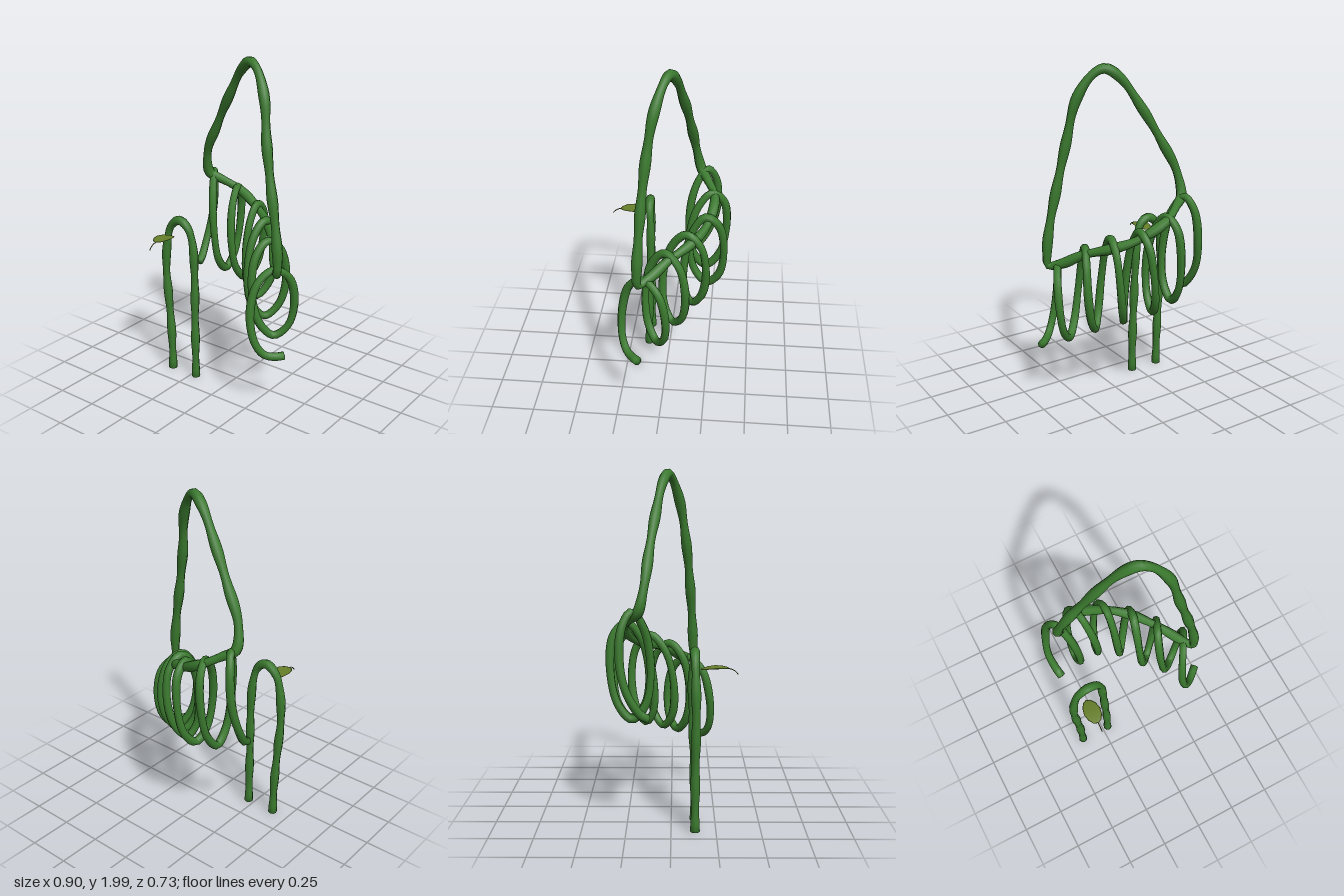
import * as THREE from 'three';
import { mergeVertices } from 'three/addons/utils/BufferGeometryUtils.js';

const vineGreen = new THREE.MeshStandardMaterial({ color: 0x3b7a2f });
vineGreen.name = 'vine green';
const leafOlive = new THREE.MeshStandardMaterial({ color: 0x67802a });
leafOlive.name = 'leaf olive';
const stemOlive = new THREE.MeshStandardMaterial({ color: 0x5f6a26 });
stemOlive.name = 'stem olive';

// Gnarled tube along a smooth path; radius swells and thins, open ends are capped
function vine(name, points, { radius, swell = 0, waves = 1, segments = 100, sides = 8, closed = false, material = vineGreen }) {
  const curve = new THREE.CatmullRomCurve3(points.map((p) => new THREE.Vector3(...p)), closed, 'centripetal');
  curve.arcLengthDivisions = 1000;
  const geo = new THREE.TubeGeometry(curve, segments, 1, sides, closed);
  const pos = geo.attributes.position;
  const v = new THREE.Vector3();
  for (let i = 0; i <= segments; i++) {
    const t = i / segments;
    const ring = curve.getPointAt(t);
    const centre = ring.clone();
    let r = radius * (1 + swell * Math.cos(t * waves * Math.PI * 2));
    if (!closed) {
      if (i === 0 || i === segments) r = 0;
      if (i === 1) centre.copy(curve.getPointAt(0.15 / segments));
      if (i === segments - 1) centre.copy(curve.getPointAt(1 - 0.15 / segments));
    }
    for (let j = 0; j <= sides; j++) {
      const k = i * (sides + 1) + j;
      v.fromBufferAttribute(pos, k).sub(ring).multiplyScalar(r).add(centre);
      pos.setXYZ(k, v.x, v.y, v.z);
    }
  }
  geo.deleteAttribute('uv');
  geo.deleteAttribute('normal');
  const smooth = mergeVertices(geo, 1e-5);
  smooth.computeVertexNormals();
  const mesh = new THREE.Mesh(smooth, material);
  mesh.name = name;
  return mesh;
}

// Rounds a chain of quarter-turn points by adding the elliptical midpoint of each quarter
function roundQuarters(points) {
  const out = [];
  for (let i = 1; i < points.length - 2; i++) {
    const [before, a, b, after] = points.slice(i - 1, i + 3);
    out.push(a, a.map((_, k) => {
      const c = (before[k] + a[k] + b[k] + after[k]) / 4;
      return c + Math.SQRT1_2 * (a[k] + b[k] - 2 * c);
    }));
  }
  return [...out, points[points.length - 2]];
}

export function createModel() {
  const group = new THREE.Group();
  group.name = 'vines';

  // Small arch standing on two legs
  group.add(vine('archVine', [
    [-0.398, 0.005, 0.133], [-0.403, 0.25, 0.133], [-0.418, 0.5, 0.135], [-0.428, 0.67, 0.137],
    [-0.417, 0.85, 0.135], [-0.385, 0.965, 0.132], [-0.32, 1.012, 0.13], [-0.262, 0.975, 0.127],
    [-0.234, 0.88, 0.12], [-0.222, 0.68, 0.12], [-0.217, 0.4, 0.128], [-0.214, 0.2, 0.132], [-0.214, 0.005, 0.133],
  ], { radius: 0.0245, swell: 0.12, waves: 8, segments: 90 }));

  // Large closed loop: tall bow above, sagging chord below
  group.add(vine('loopVine', [
    [-0.335, 1.225, -0.18], [-0.322, 1.37, -0.145], [-0.23, 1.55, -0.12], [-0.11, 1.755, -0.085],
    [0, 1.915, -0.05], [0.08, 1.968, -0.02], [0.145, 1.935, 0.007], [0.222, 1.8, 0.05],
    [0.264, 1.58, 0.085], [0.31, 1.35, 0.108], [0.36, 1.1, 0.125], [0.38, 0.93, 0.132],
    [0.375, 0.845, 0.13], [0.32, 0.865, 0.065], [0.24, 0.93, -0.03], [0.13, 0.98, -0.15],
    [0.01, 1.03, -0.23], [-0.17, 1.125, -0.268], [-0.28, 1.19, -0.215],
  ], { radius: 0.0275, swell: 0.13, waves: 11, segments: 130, closed: true }));

  // Tendril coiling round the chord; the turns run back, top, front, bottom
  const turns = roundQuarters([
    [-0.41, 0.66, -0.2], [-0.39, 0.95, -0.278], [-0.33, 1.23, -0.215], [-0.257, 0.9, -0.113],
    [-0.245, 0.61, -0.22], [-0.224, 0.9, -0.341], [-0.18, 1.147, -0.25], [-0.133, 0.85, -0.125],
    [-0.1, 0.58, -0.235], [-0.043, 0.84, -0.333], [-0.015, 1.077, -0.225], [-0.008, 0.78, -0.105],
    [0.04, 0.52, -0.15], [0.12, 0.78, -0.238], [0.112, 1.03, -0.125], [0.09, 0.74, 0.013],
    [0.17, 0.463, -0.05], [0.267, 0.72, -0.13], [0.212, 0.963, -0.01], [0.19, 0.68, 0.107],
    [0.295, 0.408, 0.035], [0.395, 0.64, -0.025], [0.332, 0.852, 0.1], [0.268, 0.62, 0.232],
    [0.36, 0.36, 0.17],
  ]);
  group.add(vine('coilVine', [
    [-0.383, 0.645, -0.12], [-0.392, 0.665, -0.16], [-0.405, 0.78, -0.235],
    ...turns,
    [0.3, 0.45, 0.235], [0.345, 0.373, 0.207], [0.39, 0.355, 0.168], [0.436, 0.36, 0.125],
  ], { radius: 0.0237, swell: 0.06, waves: 17, segments: 320 }));

  // Thin cupped leaf, narrowing and dipping towards the arch
  const leafGeo = new THREE.SphereGeometry(1, 12, 8);
  const p = leafGeo.attributes.position;
  for (let i = 0; i < p.count; i++) {
    const x = p.getX(i), y = p.getY(i), z = p.getZ(i);
    const width = 0.051 * (z < 0 ? 1 + 0.12 * z : 1);
    p.setXYZ(i, x * width, y * 0.004 + 0.006 * x * x - 0.005 * z * z + 0.004 * z, z * 0.079);
  }
  leafGeo.computeVertexNormals();
  const leaf = new THREE.Mesh(leafGeo, leafOlive);
  leaf.name = 'leaf';
  leaf.position.set(-0.35, 0.925, 0.239);
  group.add(leaf);

  // Leaf stem drooping forward
  group.add(vine('leafStem', [
    [-0.35, 0.924, 0.31], [-0.35, 0.918, 0.332], [-0.35, 0.908, 0.35], [-0.35, 0.89, 0.366],
  ], { radius: 0.0028, segments: 8, sides: 6, material: stemOlive }));

  return group;
}
